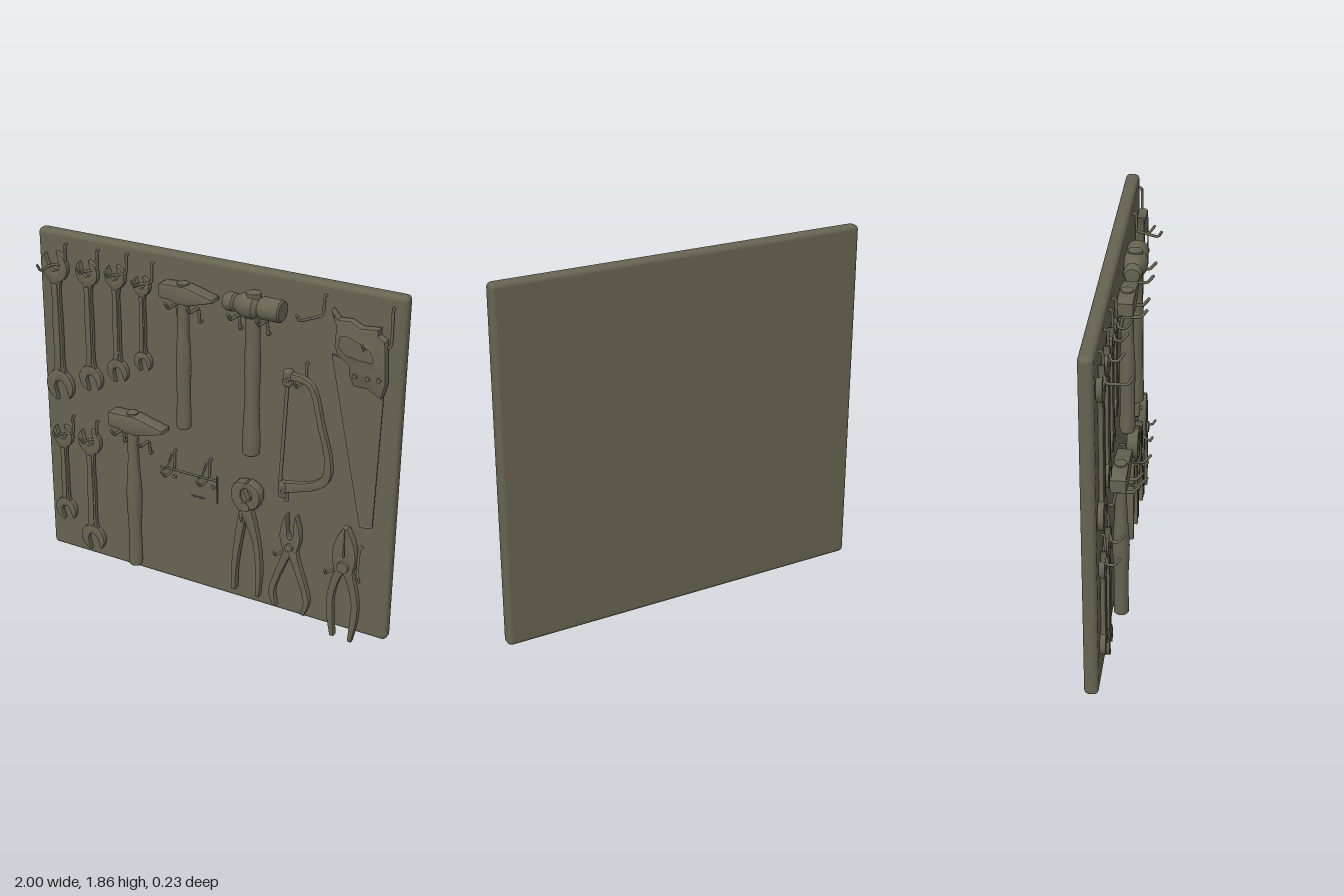
import * as THREE from 'three';
import { RoundedBoxGeometry } from 'three/addons/geometries/RoundedBoxGeometry.js';
import { toCreasedNormals } from 'three/addons/utils/BufferGeometryUtils.js';

const paint = new THREE.MeshStandardMaterial({ color: 0x676351 });
paint.name = 'olive grey';

const V2 = (p) => new THREE.Vector2(p[0], p[1]);
const V3 = (p) => new THREE.Vector3(...p);

function add(parent, name, geometry) {
  const mesh = new THREE.Mesh(geometry, paint);
  mesh.name = name;
  parent.add(mesh);
  return mesh;
}

function group(parent, name) {
  const g = new THREE.Group();
  g.name = name;
  parent.add(g);
  return g;
}

// Bevelled plate cut from a front outline, between depths z0 and z1
function plate(parent, name, shape, z0, z1, bevel = 0.005) {
  const geo = new THREE.ExtrudeGeometry(shape, {
    depth: z1 - z0 - 2 * bevel, bevelEnabled: bevel > 0, bevelThickness: bevel,
    bevelSize: bevel, bevelOffset: -bevel, bevelSegments: 2, curveSegments: 10,
  });
  geo.translate(0, 0, z0 + bevel);
  return add(parent, name, toCreasedNormals(geo, 0.7));
}

// Flat curved bar; each point is [x, y, width]
function limb(parent, name, points, z0, z1, bevel = 0.006) {
  const curve = new THREE.CatmullRomCurve3(points.map(V3));
  const left = [], right = [];
  for (let i = 0; i <= 18; i++) {
    const p = curve.getPoint(i / 18), t = curve.getTangent(i / 18);
    const n = new THREE.Vector2(-t.y, t.x).normalize().multiplyScalar(p.z / 2);
    left.push(new THREE.Vector2(p.x + n.x, p.y + n.y));
    right.unshift(new THREE.Vector2(p.x - n.x, p.y - n.y));
  }
  return plate(parent, name, new THREE.Shape([...left, ...right]), z0, z1, bevel);
}

// Round bent wire
function wire(parent, name, points, radius = 0.007) {
  const path = new THREE.CatmullRomCurve3(points.map(V3), false, 'catmullrom', 0.15);
  add(parent, name, new THREE.TubeGeometry(path, 28, radius, 8));
  const end = V3(points[points.length - 1]);
  add(parent, name + 'Tip', new THREE.SphereGeometry(radius, 8, 6)).position.copy(end);
}

// Peg hook: stem on the board, then a prong reaching forward
function hook(parent, x, top, x2, low, reach = 0.1) {
  wire(parent, 'hook', [[x, top, -0.05], [x, top, -0.028], [x, low + 0.02, -0.024],
    [x2, low, -0.005], [x2, low, reach - 0.025], [x2, low + 0.035, reach]]);
}

// Round knob facing forward
function rivet(parent, x, y, r, z0, z1) {
  const geo = new THREE.CylinderGeometry(r * 0.8, r, z1 - z0, 16).rotateX(Math.PI / 2);
  add(parent, 'rivet', geo).position.set(x, y, (z0 + z1) / 2);
}

// Open spanner jaw: a disc with a slot facing the given direction
function jaw(parent, x, y, r, angle) {
  const pts = [];
  for (let i = 0; i <= 24; i++) {
    const a = Math.PI / 2 + 0.48 + (i / 24) * (2 * Math.PI - 0.96);
    pts.push([Math.cos(a) * r, Math.sin(a) * r * 1.08]);
  }
  pts.push([0.42 * r, 0], [0.2 * r, -0.3 * r], [-0.2 * r, -0.3 * r], [-0.42 * r, 0]);
  const mesh = plate(parent, 'jaw', new THREE.Shape(pts.map(V2)), -0.043, -0.013);
  mesh.position.set(x, y, 0);
  mesh.rotation.z = angle;
}

function wrench(parent, x, top, bottom, r) {
  const g = group(parent, 'wrench');
  jaw(g, x, top, r * 0.95, 0.26);
  jaw(g, x, bottom, r, Math.PI + 0.26);
  const a = top - r * 0.6, b = bottom + r * 0.6, m = (a + b) / 2;
  limb(g, 'shank', [[x, a, r * 1.1], [x, a - r * 0.7, r * 0.68], [x, m, r * 0.72],
    [x, b + r * 0.7, r * 0.75], [x, b, r * 1.2]], -0.041, -0.016);
  limb(g, 'shankRib', [[x, a - r * 0.5, r * 0.34], [x, m, r * 0.4], [x, b + r * 0.5, r * 0.34]],
    -0.02, -0.012, 0.002);
}

// Turned wooden handle with an oval section; profile is [radius, y]
function handle(parent, x, profile) {
  const curve = new THREE.SplineCurve(profile.map(V2)).getPoints(24);
  const low = curve[0], high = curve[curve.length - 1];
  const pts = [[0, low.y - 0.006], [low.x * 0.85, low.y - 0.006]].map(V2)
    .concat(curve, [new THREE.Vector2(0, high.y)]);
  const mesh = add(parent, 'handle', toCreasedNormals(new THREE.LatheGeometry(pts, 20), 0.7));
  mesh.position.set(x, 0, 0.005);
  mesh.scale.z = 1.02;
}

// Cross-peen hammer: wedge-shaped head and oval handle
function peenHammer(parent, x, y, bottom, s) {
  const g = group(parent, 'peenHammer');
  const outline = [[-0.118, 0.036], [-0.105, 0.043], [0.03, 0.046], [0.178, 0.008],
    [0.18, -0.01], [0.045, -0.05], [-0.03, -0.05], [-0.045, -0.038], [-0.105, -0.034], [-0.118, -0.026]]
    .map(([a, b]) => V2([x + a * s, y + b * s]));
  plate(g, 'head', new THREE.Shape(outline), -0.035, 0.045, 0.01);
  const len = y - bottom;
  handle(g, x, [[0.037, bottom + 0.006], [0.038, bottom + 0.05], [0.035, bottom + len * 0.25],
    [0.038 * s, bottom + len * 0.5], [0.03, bottom + len * 0.75], [0.031, y], [0.03, y + 0.052 * s]]);
}

function plierHook(parent, x, y, side) {
  wire(parent, 'hook', [[x, y + 0.13, -0.05], [x, y + 0.13, -0.01], [x, y, 0.005],
    [x - side * 0.03, y - 0.015, 0.045], [x - side * 0.03, y + 0.01, 0.06]]);
}

export function createModel() {
  const model = new THREE.Group();
  model.name = 'toolBoard';

  add(model, 'board', new RoundedBoxGeometry(2, 1.84, 0.07, 4, 0.025)).position.set(0, 0.94, -0.08);

  // Wrenches: x, upper jaw, lower jaw, jaw radius, hook stem x
  for (const [x, top, bottom, r, hx] of [
    [-0.89, 1.68, 1.02, 0.082, -0.825], [-0.695, 1.68, 1.1, 0.068, -0.635],
    [-0.53, 1.69, 1.18, 0.061, -0.465], [-0.377, 1.67, 1.265, 0.05, -0.32],
    [-0.89, 0.725, 0.275, 0.064, -0.825], [-0.72, 0.73, 0.14, 0.073, -0.675]]) {
    wrench(model, x, top, bottom, r);
    hook(model, hx, top + 0.12, x - 0.01, top + 0.01, r > 0.08 ? 0.11 : 0.05);
  }

  // Hammers
  peenHammer(model, -0.125, 1.69, 0.97, 1);
  peenHammer(model, -0.43, 0.925, 0.08, 1.1);
  const ball = group(model, 'ballHammer');
  const headProfile = [[0, -0.16], [0.036, -0.155], [0.046, -0.135], [0.046, -0.105], [0.036, -0.095],
    [0.05, -0.075], [0.064, -0.035], [0.064, 0.01], [0.044, 0.03], [0.052, 0.04], [0.055, 0.05],
    [0.055, 0.142], [0.048, 0.15], [0, 0.15]].map(V2);
  const headGeo = toCreasedNormals(new THREE.LatheGeometry(headProfile, 24), 0.6).rotateZ(-Math.PI / 2);
  add(ball, 'head', headGeo).position.set(0.26, 1.697, 0.004);
  handle(ball, 0.255, [[0.044, 0.925], [0.045, 1.0], [0.038, 1.2], [0.041, 1.4], [0.035, 1.55],
    [0.037, 1.7], [0.036, 1.765]]);

  // Hanger prongs under the hammer heads
  for (const [x, y] of [[-0.17, 1.62], [-0.05, 1.62], [0.17, 1.63], [0.32, 1.63], [-0.345, 0.83], [-0.5, 0.86]])
    wire(model, 'hammerHook', [[x, y - 0.075, -0.05], [x, y - 0.075, -0.025], [x, y, -0.01],
      [x, y + 0.005, 0.07], [x, y + 0.04, 0.1]], 0.008);

  // Empty hook
  wire(model, 'emptyHook', [[0.605, 1.8, -0.05], [0.605, 1.8, -0.025], [0.6, 1.71, -0.02],
    [0.54, 1.71, 0.09], [0.53, 1.74, 0.11]]);

  // Hand saw
  const saw = group(model, 'handSaw');
  plate(saw, 'blade', new THREE.Shape([[0.655, 1.53], [0.84, 0.65], [0.905, 0.665], [0.925, 1.45], [0.78, 1.5]].map(V2)),
    -0.024, -0.016, 0);
  const grip = new THREE.Shape([[0.652, 1.755], [0.69, 1.715], [0.75, 1.72], [0.8, 1.695], [0.892, 1.705],
    [0.89, 1.672], [0.925, 1.65], [0.938, 1.44], [0.92, 1.365], [0.85, 1.4], [0.78, 1.4], [0.755, 1.45],
    [0.75, 1.5], [0.69, 1.54], [0.675, 1.59], [0.68, 1.68]].map(V2));
  grip.holes.push(new THREE.Path([[0.695, 1.64], [0.735, 1.655], [0.8, 1.63], [0.86, 1.6], [0.885, 1.55],
    [0.87, 1.525], [0.8, 1.53], [0.73, 1.54], [0.69, 1.58]].map(V2)));
  plate(saw, 'grip', grip, -0.04, 0.01, 0.01);
  for (const [x, y] of [[0.785, 1.455], [0.85, 1.455], [0.905, 1.46]]) rivet(saw, x, y, 0.014, 0, 0.016);
  hook(model, 0.94, 1.8, 0.83, 1.6, 0.05);

  // Hacksaw with arched frame
  const hack = group(model, 'hacksaw');
  limb(hack, 'frame', [[0.42, 1.375, 0.04], [0.53, 1.37, 0.03], [0.575, 1.33, 0.03], [0.62, 1.16, 0.03],
    [0.665, 0.99, 0.035], [0.66, 0.88, 0.045], [0.59, 0.82, 0.045], [0.43, 0.775, 0.055]], -0.025, 0.01);
  limb(hack, 'blade', [[0.44, 1.38, 0.018], [0.425, 1.06, 0.018], [0.41, 0.75, 0.018]], -0.01, -0.004, 0);
  for (const [x, y] of [[0.44, 1.365], [0.43, 0.76]]) {
    add(hack, 'blade' + 'Holder', new RoundedBoxGeometry(0.045, 0.085, 0.045, 2, 0.012)).position.set(x, y, -0.008);
    rivet(hack, x + 0.01, y, 0.013, 0, 0.03);
  }
  hook(model, 0.525, 1.445, 0.5, 1.34, 0.05);
  add(hack, 'wingNut', new THREE.CylinderGeometry(0.012, 0.012, 0.05, 12)).position.set(0.45, 0.725, -0.005);

  // Small rack
  const rack = group(model, 'rack');
  wire(rack, 'rail', [[-0.265, 0.715, 0.01], [-0.1, 0.715, 0.01], [0.06, 0.715, 0.01]], 0.006);
  for (const x of [-0.2, 0.005]) {
    wire(rack, 'prong', [[x, 0.8, -0.05], [x, 0.8, -0.025], [x, 0.705, -0.02], [x, 0.7, 0.07], [x, 0.745, 0.11]]);
    wire(rack, 'brace', [[x - 0.03, 0.77, -0.05], [x - 0.03, 0.715, 0.0], [x - 0.03, 0.72, 0.04]], 0.005);
  }
  wire(rack, 'endRod', [[0.045, 0.715, -0.035], [0.045, 0.64, -0.035], [0.045, 0.56, -0.035]], 0.004);
  wire(rack, 'lowerRod', [[-0.11, 0.56, -0.043], [-0.07, 0.56, -0.043], [-0.035, 0.56, -0.043]], 0.004);
  for (const [x, y] of [[-0.21, 0.645], [0.015, 0.64]]) rivet(rack, x, y, 0.012, -0.05, -0.035);

  // Pincers
  const pincers = group(model, 'pincers');
  limb(pincers, 'leftHandle', [[0.285, 0.65, 0.06], [0.225, 0.59, 0.05], [0.185, 0.4, 0.038],
    [0.165, 0.22, 0.03], [0.165, 0.1, 0.022]], -0.03, 0.01);
  limb(pincers, 'rightHandle', [[0.19, 0.7, 0.06], [0.24, 0.58, 0.06], [0.292, 0.42, 0.036],
    [0.31, 0.25, 0.032], [0.305, 0.1, 0.022]], -0.022, 0.018);
  limb(pincers, 'leftJaw', [[0.225, 0.6, 0.05], [0.185, 0.66, 0.055], [0.19, 0.72, 0.05], [0.24, 0.745, 0.03]], -0.03, 0.03);
  limb(pincers, 'rightJaw', [[0.23, 0.62, 0.05], [0.285, 0.65, 0.045], [0.29, 0.71, 0.045], [0.24, 0.75, 0.03]], -0.03, 0.03);
  rivet(pincers, 0.235, 0.62, 0.032, 0, 0.032);
  plierHook(model, 0.2, 0.56, -1);

  // Pointed pliers and broad-nosed pliers: two mirrored halves about the pivot
  const halves = (name, px, py, jawPts, armPts, r) => {
    const g = group(model, name);
    for (const s of [-1, 1]) {
      const put = (pts) => pts.map(([x, y, w]) => [px + s * x, py + y, w]);
      limb(g, 'jaw', put(jawPts), -0.025, 0.022);
      limb(g, 'arm', put(armPts), -0.02 + s * 0.004, 0.018 + s * 0.004);
    }
    rivet(g, px, py, r, 0, 0.034);
  };
  halves('pointedPliers', 0.485, 0.455, [[0, -0.02, 0.08], [0.034, 0.05, 0.045], [0.034, 0.1, 0.034], [0.026, 0.175, 0.01]],
    [[0, 0.03, 0.07], [0.025, -0.06, 0.045], [0.075, -0.2, 0.034], [0.1, -0.3, 0.032], [0.08, -0.38, 0.02]], 0.026);
  halves('broadPliers', 0.78, 0.43, [[0, -0.03, 0.1], [0.032, 0.05, 0.062], [0.025, 0.13, 0.05], [0.006, 0.215, 0.012]],
    [[0, 0.02, 0.08], [0.035, -0.06, 0.045], [0.068, -0.2, 0.036], [0.066, -0.3, 0.036], [0.05, -0.43, 0.022]], 0.038);
  plierHook(model, 0.45, 0.42, 1);
  plierHook(model, 0.85, 0.4, -1);
  plierHook(model, 0.73, 0.4, 1);

  return model;
}
